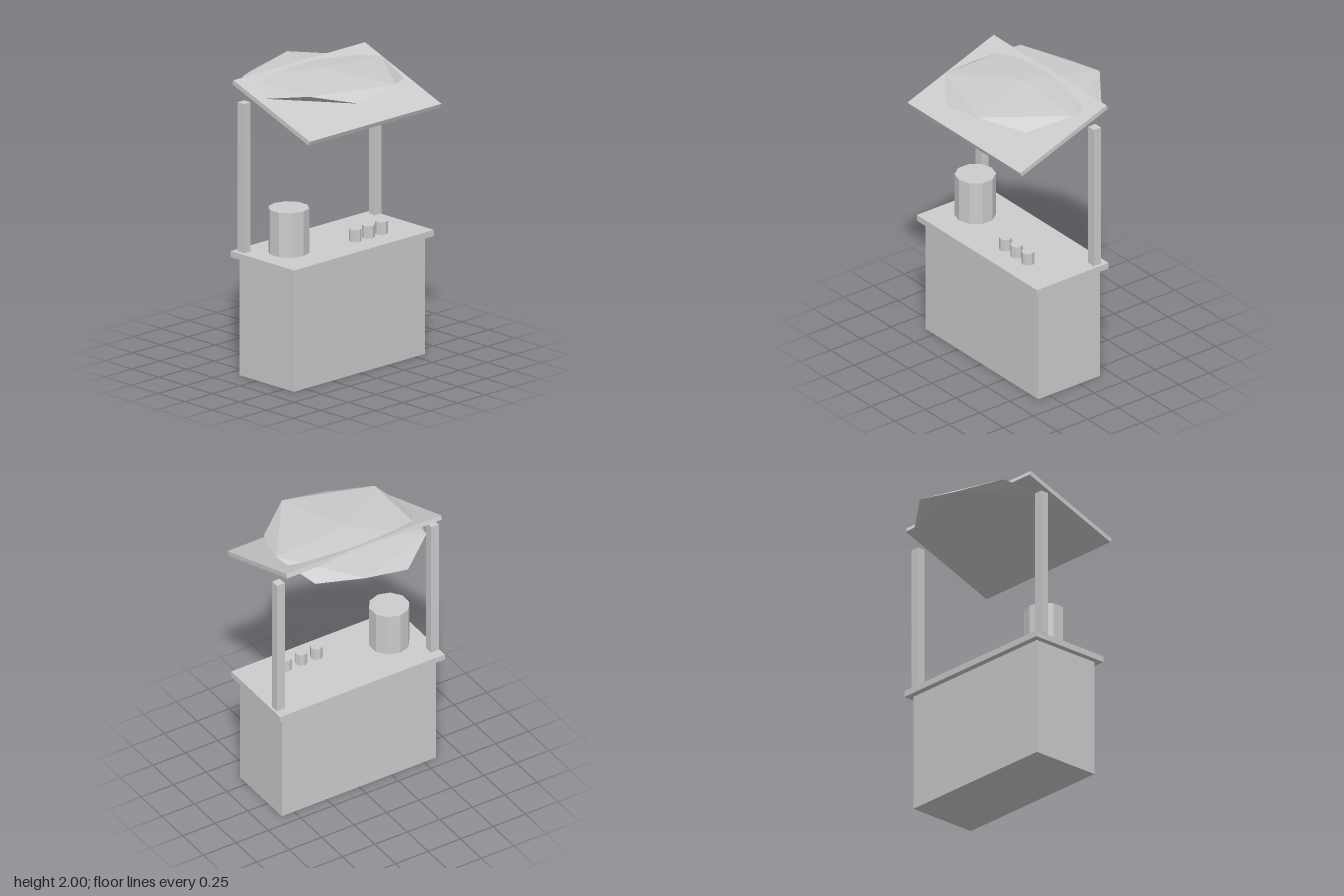
import * as THREE from 'three';
import { ConvexGeometry } from 'three/addons/geometries/ConvexGeometry.js';

export function createModel() {
  const stall = new THREE.Group();
  stall.name = 'marketStall';
  const grey = new THREE.MeshStandardMaterial({ color: 0xcccccc, flatShading: true });
  grey.name = 'plain grey';

  const add = (name, geometry, x, y, z) => {
    const mesh = new THREE.Mesh(geometry, grey);
    mesh.name = name;
    mesh.position.set(x, y, z);
    stall.add(mesh);
    return mesh;
  };

  // Cabinet and overhanging worktop
  add('cabinet', new THREE.BoxGeometry(1.187, 0.801, 0.506), 0, 0.4005, 0.085);
  add('worktop', new THREE.BoxGeometry(1.267, 0.042, 0.59), 0, 0.822, 0.085);

  // Two rear posts
  for (const [name, side] of [['leftPost', 1], ['rightPost', -1]]) {
    add(name, new THREE.BoxGeometry(0.059, 1.013, 0.059), side * 0.593, 1.358, -0.126);
  }

  // Roof panel sloping down to the front
  const roof = add('roof', new THREE.BoxGeometry(1.19, 0.031, 0.757), 0, 1.848, 0.127);
  roof.rotation.x = 0.35;

  // Flattened icosahedron through the roof: two poles, two staggered five-point rings
  const radius = 0.529, height = 0.068;
  const points = [new THREE.Vector3(0, height, 0), new THREE.Vector3(0, -height, 0)];
  for (let i = 0; i < 10; i++) {
    const a = (i * Math.PI) / 5;
    const y = (i % 2 ? -1 : 1) * height * 0.447;
    points.push(new THREE.Vector3(radius * Math.cos(a), y, radius * Math.sin(a)));
  }
  add('canopyOrnament', new ConvexGeometry(points), 0, 1.932, 0);

  // Dispenser barrel
  add('barrel', new THREE.CylinderGeometry(0.135, 0.135, 0.302, 10), -0.394, 1.003, 0.085);

  // Row of cups
  for (let i = 0; i < 3; i++) {
    add('cup' + (i + 1), new THREE.CylinderGeometry(0.042, 0.042, 0.084, 8), 0.085 + i * 0.118, 0.894, 0.211);
  }

  return stall;
}
